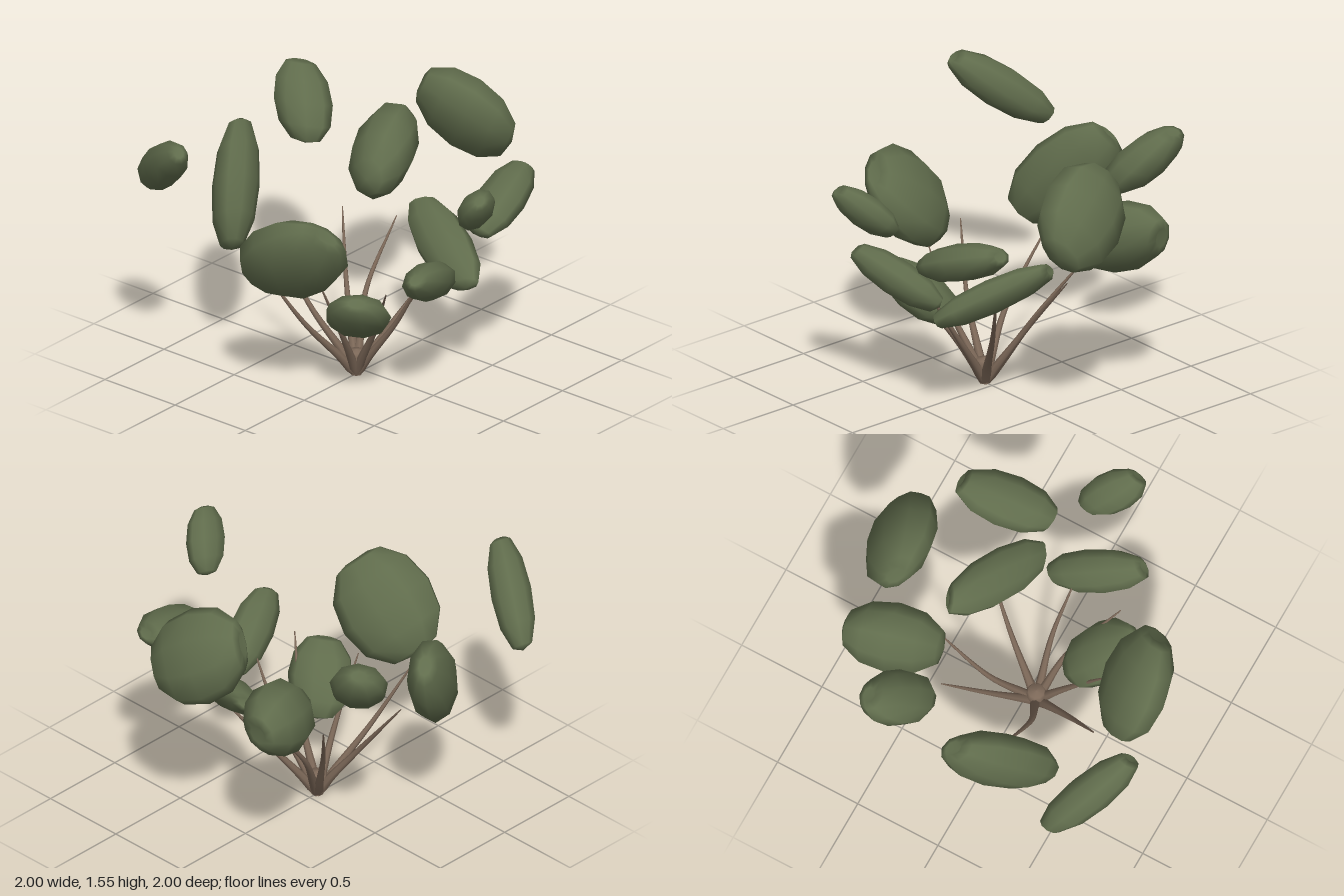
import * as THREE from 'three';
import { mergeVertices } from 'three/addons/utils/BufferGeometryUtils.js';

const leafGreen = new THREE.MeshStandardMaterial({ color: 0x606c4c });
leafGreen.name = 'leafGreen';
const barkBrown = new THREE.MeshStandardMaterial({ color: 0x7c6858 });
barkBrown.name = 'barkBrown';

// Blunt clump profile, bottom to top, with a dimple at the top
const profile = [[0, -0.97], [0.5, -0.89], [0.88, -0.52], [1, 0], [0.88, 0.52], [0.52, 0.89], [0.26, 0.95], [0, 0.78]]
  .map(([x, y]) => new THREE.Vector2(x, y));

// Ellipsoid clump: half sizes h, lean between axes [xy, xz, yz], dimple direction
function foliage(center, h, [xy, xz, yz], pole) {
  const b = Math.sqrt(1 - xy * xy);
  const c = (yz - xy * xz) / b;
  const d = Math.sqrt(1 - xz * xz - c * c);
  const shape = new THREE.Matrix4().set(
    h[0], 0, 0, 0,
    h[1] * xy, h[1] * b, 0, 0,
    h[2] * xz, h[2] * c, h[2] * d, 0,
    0, 0, 0, 1);
  const dir = new THREE.Vector3(...pole).applyMatrix4(shape.clone().invert()).normalize();
  const turn = new THREE.Quaternion().setFromUnitVectors(new THREE.Vector3(0, 1, 0), dir);

  let geo = new THREE.LatheGeometry(profile, 9);
  geo.deleteAttribute('uv');
  geo.deleteAttribute('normal');
  geo.applyQuaternion(turn).scale(1.01, 1.01, 1.01).applyMatrix4(shape);
  geo = mergeVertices(geo, 1e-4);
  geo.computeVertexNormals();
  const mesh = new THREE.Mesh(geo, leafGreen);
  mesh.position.set(...center);
  return mesh;
}

// Tapering stem through a few points
function stem(points) {
  const curve = new THREE.CatmullRomCurve3(points.map(p => new THREE.Vector3(...p)));
  const rows = 16, sides = 7;
  const geo = new THREE.TubeGeometry(curve, rows, 1, sides);
  const pos = geo.attributes.position;
  const v = new THREE.Vector3();
  for (let i = 0; i < pos.count; i++) {
    const t = Math.floor(i / (sides + 1)) / rows;
    const radius = 0.003 + 0.02 * Math.pow(1 - t, 0.8) + 0.01 * Math.pow(1 - t, 5);
    const p = curve.getPointAt(t);
    v.fromBufferAttribute(pos, i).sub(p).multiplyScalar(radius).add(p);
    pos.setXYZ(i, v.x, Math.max(v.y, 0), v.z);
  }
  return new THREE.Mesh(geo, barkBrown);
}

export function createModel() {
  const plant = new THREE.Group();
  plant.name = 'shrub';

  // Foliage: centre, half sizes, lean, dimple direction
  const clumps = [
    [[-0.755, 1.255, -0.385], [0.205, 0.185, 0.175], [-0.52, 0.3, -0.5], [-0.1, 0.15, -0.1]],
    [[-0.375, 0.985, -0.62], [0.205, 0.225, 0.27], [-0.05, 0.35, -0.32], [-0.09, 0.05, -0.25]],
    [[0.05, 1.28, -0.81], [0.29, 0.27, 0.19], [-0.12, -0.15, 0.4], [-0.22, 0.13, 0.09]],
    [[0.285, 0.725, -0.345], [0.325, 0.16, 0.175], [-0.58, 0.64, -0.7], [-0.3, 0.13, -0.16]],
    [[0.6, 1.05, -0.455], [0.16, 0.14, 0.275], [-0.15, 0.32, -0.6], [-0.05, 0.1, -0.25]],
    [[0.575, 0.76, 0.125], [0.145, 0.155, 0.265], [0.52, 0.55, 0.58], [0.1, 0.12, 0.23]],
    [[0.855, 1.255, 0.06], [0.135, 0.145, 0.16], [0.58, 0.48, 0.38], [0.11, 0.12, 0.1]],
    [[0.24, 0.52, 0.33], [0.2, 0.17, 0.19], [0.43, 0.15, 0.55], [0.1, 0.15, 0.13]],
    [[0.05, 0.925, 0.655], [0.29, 0.275, 0.22], [0.3, -0.28, 0.38], [0.23, 0.2, 0]],
    [[-0.715, 0.985, 0.23], [0.205, 0.31, 0.27], [-0.42, 0.68, -0.5], [-0.14, 0.25, -0.2]],
    [[-0.75, 1.3, 0.805], [0.25, 0.22, 0.185], [0.74, 0.7, 0.64], [0.23, 0.2, 0.14]],
  ];
  const crown = new THREE.Group();
  crown.name = 'crown';
  clumps.forEach((c, i) => {
    const mesh = foliage(...c);
    mesh.name = `foliage${i + 1}`;
    crown.add(mesh);
  });

  // Stems: middle point and tip, all rising from one root
  const stems = [
    [[-0.23, 0.35, 0.155], [-0.54, 0.75, 0.165]],
    [[-0.12, 0.37, 0.35], [-0.25, 0.74, 0.56]],
    [[-0.23, 0.42, -0.13], [-0.41, 0.75, -0.31]],
    [[-0.125, 0.38, -0.17], [-0.15, 0.72, -0.46]],
    [[0.15, 0.37, -0.18], [0.31, 0.72, -0.4]],
    [[0.25, 0.37, 0.02], [0.46, 0.72, 0.04]],
    [[0.2, 0.35, 0.14], [0.45, 0.72, 0.34]],
    [[0.06, 0.36, 0.27], [0.07, 0.7, 0.45]],
  ];
  const branches = new THREE.Group();
  branches.name = 'stems';
  stems.forEach(([mid, tip], i) => {
    const low = [mid[0] * 0.3, 0.12, 0.06 + (mid[2] - 0.06) * 0.3];
    const mesh = stem([[0, 0, 0.06], low, mid, tip]);
    mesh.name = `stem${i + 1}`;
    branches.add(mesh);
  });

  // Root collar where the stems join, rounded over at the top
  const collarProfile = [[0, 0], [0.026, 0], [0.048, 0.06], [0.058, 0.11], [0.045, 0.14], [0, 0.15]];
  const collar = new THREE.Mesh(
    new THREE.LatheGeometry(collarProfile.map(([x, y]) => new THREE.Vector2(x, y)), 10), barkBrown);
  collar.name = 'rootCollar';
  collar.position.z = 0.06;

  plant.add(crown, branches, collar);
  return plant;
}
